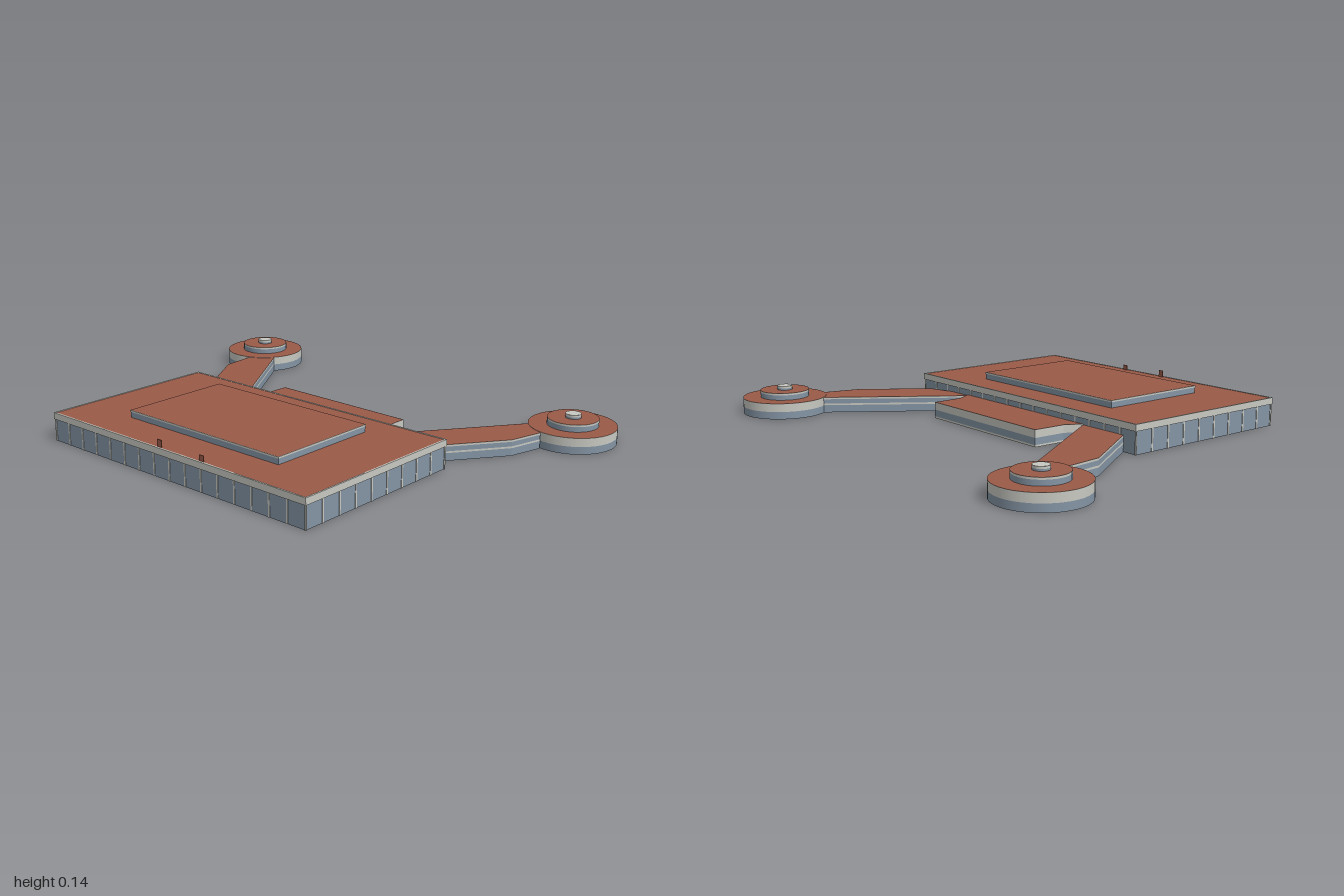
import * as THREE from 'three';

const makeMaterial = (name, color) => {
  const m = new THREE.MeshStandardMaterial({ color, side: THREE.DoubleSide });
  m.name = name;
  return m;
};

export function createModel() {
  const model = new THREE.Group();
  model.name = 'terminalBuilding';
  const brick = makeMaterial('roofBrown', 0x9a5a48);
  const glass = makeMaterial('blueGreyGlass', 0x8494a4);
  const trim = makeMaterial('paleTrim', 0xc8c8c2);

  const add = (parent, name, geometry, material, x = 0, y = 0, z = 0) => {
    const mesh = new THREE.Mesh(geometry, material);
    mesh.name = name;
    mesh.position.set(x, y, z);
    parent.add(mesh);
    return mesh;
  };
  const group = (name) => {
    const g = new THREE.Group();
    g.name = name;
    model.add(g);
    return g;
  };

  // Open wall strip around an [x, z] outline
  const wall = (parent, name, pts, y0, y1, material) => {
    const pos = [];
    pts.forEach(([ax, az], i) => {
      const [bx, bz] = pts[(i + 1) % pts.length];
      pos.push(ax, y0, az, bx, y0, bz, bx, y1, bz, ax, y0, az, bx, y1, bz, ax, y1, az);
    });
    const g = new THREE.BufferGeometry();
    g.setAttribute('position', new THREE.Float32BufferAttribute(pos, 3));
    g.computeVertexNormals();
    add(parent, name, g, material);
  };
  // Flat roof over an [x, z] outline
  const roof = (parent, name, pts, y) => {
    const shape = new THREE.Shape(pts.map(([x, z]) => new THREE.Vector2(x, -z)));
    add(parent, name, new THREE.ShapeGeometry(shape).rotateX(-Math.PI / 2), brick, 0, y);
  };
  // Outlines run anticlockwise seen from above, so walls face outwards
  const rect = (x0, x1, z0, z1, o = 0) =>
    [[x0 - o, z1 + o], [x1 + o, z1 + o], [x1 + o, z0 - o], [x0 - o, z0 - o]];
  // Rectangular edge band with an open middle
  const band = (parent, name, outer, inner, y0, y1) => {
    const toVec = ([x, z]) => new THREE.Vector2(x, -z);
    const shape = new THREE.Shape(outer.map(toVec));
    shape.holes.push(new THREE.Path(inner.map(toVec)));
    const g = new THREE.ExtrudeGeometry(shape, { depth: y1 - y0, bevelEnabled: false });
    add(parent, name, g.rotateX(-Math.PI / 2), trim, 0, y0);
  };

  // Main hall: hollow glass box, pale fascia, brown roof
  const hall = group('mainHall');
  const [X0, X1, Z0, Z1] = [-0.638, 0.652, 0.01, 0.752];
  wall(hall, 'hallGlass', rect(X0, X1, Z0, Z1), 0, 0.1, glass);
  band(hall, 'hallFascia', rect(X0, X1, Z0, Z1, 0.005), rect(X0, X1, Z0, Z1, -0.002), 0.088, 0.114);
  roof(hall, 'hallRoof', rect(X0, X1, Z0, Z1), 0.1125);

  // Window bars on all four sides
  const bars = (n, place) => {
    for (let i = 0; i <= n; i++) place(i / n);
  };
  bars(16, (t) => [Z0, Z1].forEach((z) =>
    add(hall, 'windowBar', new THREE.BoxGeometry(0.007, 0.088, 0.004), trim, X0 + t * (X1 - X0), 0.044, z)));
  bars(9, (t) => [X0, X1].forEach((x) =>
    add(hall, 'windowBar', new THREE.BoxGeometry(0.004, 0.088, 0.007), trim, x, 0.044, Z0 + t * (Z1 - Z0))));

  // Raised block on the hall roof
  const upper = group('raisedRoof');
  const [U0, U1, V0, V1] = [-0.38, 0.385, 0.135, 0.595];
  wall(upper, 'raisedWalls', rect(U0, U1, V0, V1), 0.112, 0.142, glass);
  band(upper, 'raisedEdge', rect(U0, U1, V0, V1, 0.002), rect(U0, U1, V0, V1, -0.002), 0.135, 0.1415);
  roof(upper, 'raisedTop', rect(U0, U1, V0, V1, 0.001), 0.142);

  // Small upright markers at the front roof edge
  [-0.05, 0.165].forEach((x, i) =>
    add(hall, 'roofMarker', new THREE.BoxGeometry(0.022, 0.028 - i * 0.006, 0.003), brick, x, 0.126 - i * 0.003, 0.743));

  // Low wings with layered glass and pale bands
  const wing = (name, pts, layers, top) => {
    const g = group(name);
    layers.forEach(([y0, y1, m]) => wall(g, m === glass ? 'wingGlass' : 'wingBand', pts, y0, y1, m));
    roof(g, 'wingRoof', pts, top);
  };
  const corridorLayers = [[0, 0.03, glass], [0.03, 0.037, trim], [0.037, 0.055, glass], [0.055, 0.063, trim]];
  wing('leftCorridor', [[0.345, 0.01], [0.46, 0.01], [0.575, -0.02], [0.755, -0.27], [0.79, -0.41],
    [0.695, -0.475]], corridorLayers, 0.0625);
  wing('rightCorridor', [[-0.575, 0.01], [-0.36, 0.01], [-0.685, -0.505], [-0.775, -0.43],
    [-0.76, -0.285]], corridorLayers, 0.0625);
  wing('rearBlock', [[-0.36, 0.01], [0.35, 0.01], [0.315, -0.055], [0.315, -0.183], [-0.32, -0.19],
    [-0.325, -0.055]], [[0, 0.008, trim], [0.008, 0.035, glass], [0.035, 0.066, trim]], 0.0655);

  // Round gate pavilions: three stacked tiers
  const tube = (parent, name, r, y0, y1, material, sides) =>
    add(parent, name, new THREE.CylinderGeometry(r, r, y1 - y0, sides, 1, true), material, 0, (y0 + y1) / 2);
  const disc = (parent, name, r, y, material, sides) =>
    add(parent, name, new THREE.CircleGeometry(r, sides).rotateX(-Math.PI / 2), material, 0, y);
  [['leftPavilion', 0.828, -0.58], ['rightPavilion', -0.83, -0.597]].forEach(([name, x, z]) => {
    const g = group(name);
    g.position.set(x, 0, z);
    tube(g, 'lowerGlass', 0.17, 0, 0.03, glass, 36);
    tube(g, 'lowerBand', 0.17, 0.03, 0.064, trim, 36);
    disc(g, 'lowerRoof', 0.17, 0.0638, brick, 36);
    tube(g, 'middleGlass', 0.099, 0.063, 0.084, glass, 32);
    tube(g, 'middleBand', 0.099, 0.084, 0.092, trim, 32);
    disc(g, 'middleRoof', 0.099, 0.0918, brick, 32);
    tube(g, 'capGlass', 0.031, 0.091, 0.099, glass, 10);
    tube(g, 'capBand', 0.031, 0.099, 0.108, trim, 10);
    disc(g, 'capTop', 0.031, 0.108, trim, 10);
  });

  return model;
}
